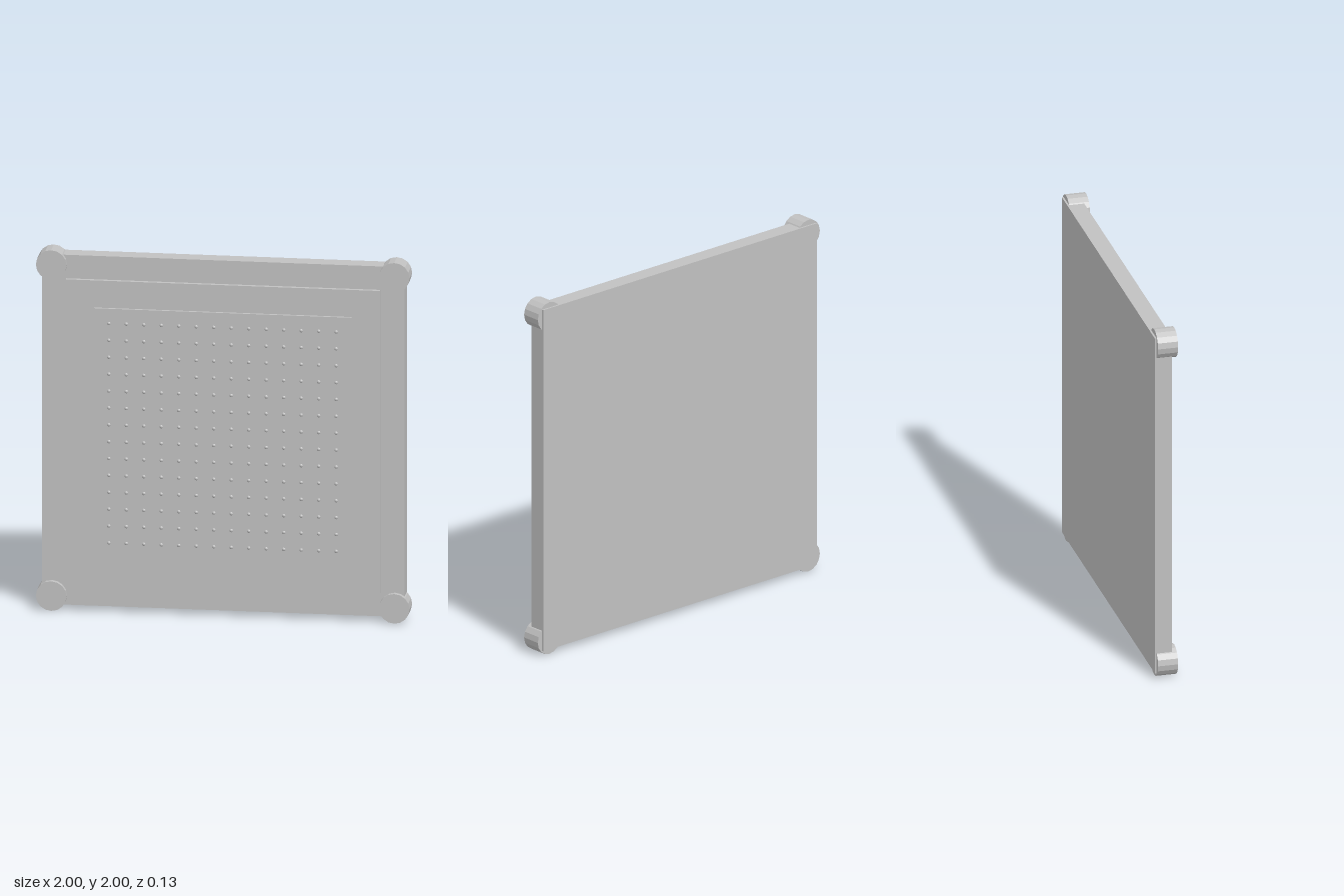
import * as THREE from 'three';

export function createModel() {
  const model = new THREE.Group();
  const grey = new THREE.MeshStandardMaterial({ color: 0xc0c0c0 });
  grey.name = 'plain grey';

  const add = (name, geometry, x, y, z, parent = model) => {
    const mesh = new THREE.Mesh(geometry, grey);
    mesh.name = name;
    mesh.position.set(x, y, z);
    parent.add(mesh);
    return mesh;
  };

  // Square slab centred at mid height, spanning zBack to zFront
  const slab = (name, size, zBack, zFront) =>
    add(name, new THREE.BoxGeometry(size, size, zFront - zBack), 0, 1, (zBack + zFront) / 2);

  // Stepped layers
  slab('backBoard', 1.94, -0.067, 0.026);
  slab('middlePlate', 1.68, 0.02, 0.047);
  slab('frontPanel', 1.38, 0.04, 0.061);

  // Round corner posts, faceted
  const post = new THREE.CylinderGeometry(0.082, 0.082, 0.11, 16).toNonIndexed();
  post.rotateX(Math.PI / 2);
  post.computeVertexNormals();
  for (const sx of [-1, 1]) {
    for (const sy of [-1, 1]) {
      add('cornerPost', post, sx * 0.918, 1 + sy * 0.918, -0.002);
    }
  }

  // Grid of small studs sunk into the front panel
  const studs = new THREE.Group();
  studs.name = 'studGrid';
  model.add(studs);
  const count = 14;
  const pitch = 0.0936;
  const stud = new THREE.SphereGeometry(0.011, 10, 8);
  for (let i = 0; i < count; i++) {
    for (let j = 0; j < count; j++) {
      const x = (i - (count - 1) / 2) * pitch;
      const y = 1 + (j - (count - 1) / 2) * pitch;
      add('stud', stud, x, y, 0.056, studs);
    }
  }

  return model;
}
